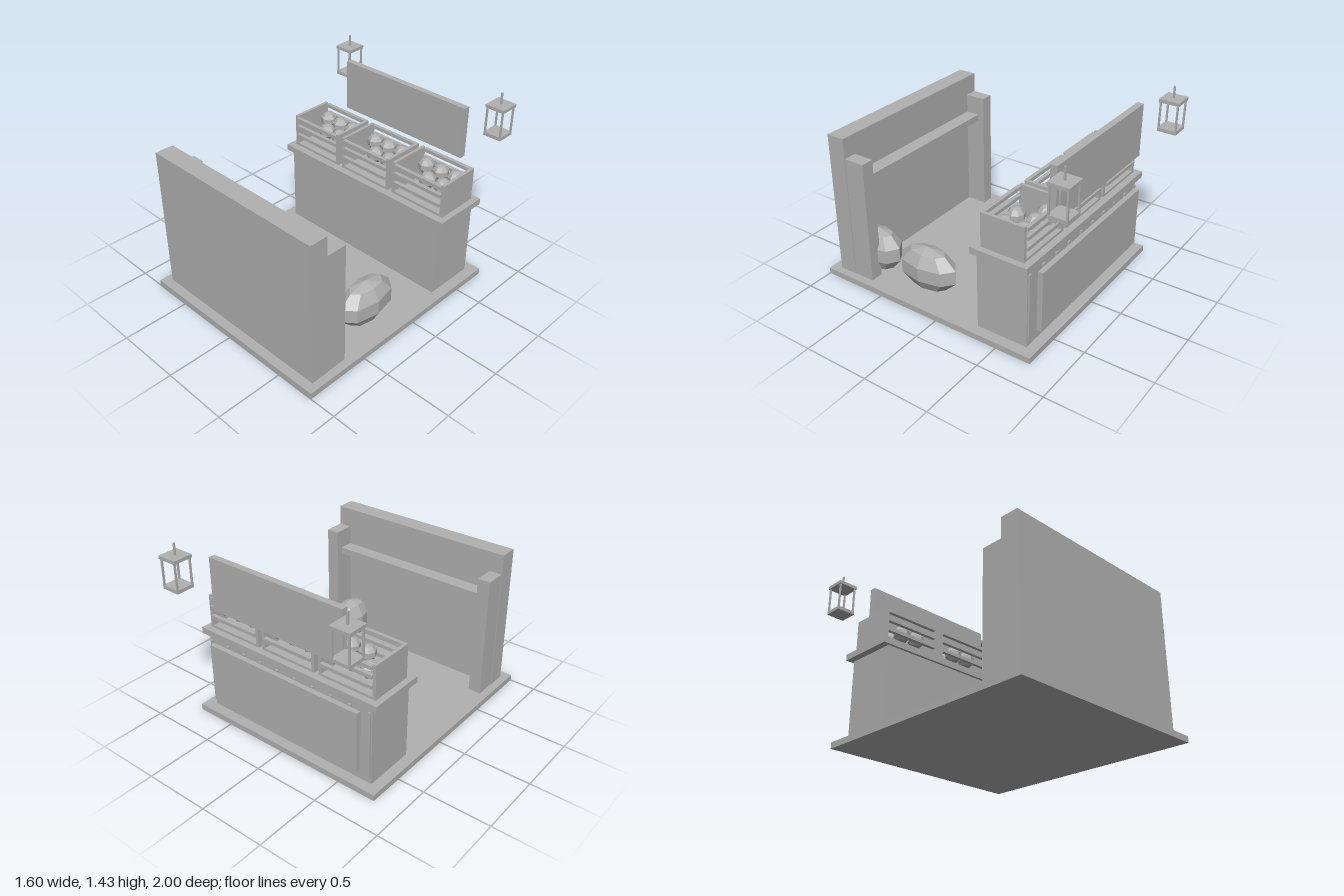
import * as THREE from 'three';

const grey = new THREE.MeshStandardMaterial({ color: 0xb0b0b0, flatShading: true });
grey.name = 'plain grey';

// Box given by its min and max on each axis
function box(parent, name, x0, x1, y0, y1, z0, z1) {
  const mesh = new THREE.Mesh(new THREE.BoxGeometry(x1 - x0, y1 - y0, z1 - z0), grey);
  mesh.position.set((x0 + x1) / 2, (y0 + y1) / 2, (z0 + z1) / 2);
  mesh.name = name;
  parent.add(mesh);
  return mesh;
}

// Faceted ball, stretched on each axis
function ball(parent, name, x, y, z, rx, ry, rz) {
  const mesh = new THREE.Mesh(new THREE.SphereGeometry(1, 8, 5), grey);
  mesh.scale.set(rx, ry, rz);
  mesh.position.set(x, y, z);
  mesh.name = name;
  parent.add(mesh);
}

function group(parent, name, x = 0, y = 0, z = 0) {
  const g = new THREE.Group();
  g.name = name;
  g.position.set(x, y, z);
  parent.add(g);
  return g;
}

// Open crate: solid ends, three slats front and back, five fruits
function addCrate(parent, x) {
  const crate = group(parent, 'crate', x, 0.69, -0.503);
  box(crate, 'crateFloor', -0.21, 0.21, 0, 0.02, -0.165, 0.165);
  for (const s of [-1, 1]) {
    const end = box(crate, 'crateEnd', -0.012, 0.012, 0, 0.255, -0.165, 0.165);
    end.position.x = s * 0.218;
    for (const y of [0.08, 0.155, 0.22]) {
      const slat = box(crate, 'crateSlat', -0.206, 0.206, y, y + 0.026, -0.014, 0.014);
      slat.position.z = s * 0.164;
    }
  }
  for (const [fx, fz] of [[-0.13, -0.095], [0, -0.095], [0.13, -0.095], [0, 0.05], [0.13, 0.05]]) {
    ball(crate, 'fruit', fx, 0.16, fz, 0.063, 0.063, 0.063);
  }
}

// Hanging lantern with four thin corner rods
function addLantern(parent, x) {
  const lantern = group(parent, 'lantern', x, 0, -0.925);
  box(lantern, 'lanternBase', -0.07, 0.07, 1.107, 1.132, -0.07, 0.07);
  box(lantern, 'lanternRoof', -0.075, 0.075, 1.322, 1.346, -0.075, 0.075);
  box(lantern, 'lanternHanger', -0.006, 0.006, 1.346, 1.432, -0.006, 0.006);
  for (const sx of [-1, 1]) for (const sz of [-1, 1]) {
    const rod = box(lantern, 'lanternRod', -0.006, 0.006, 1.132, 1.322, -0.006, 0.006);
    rod.position.x = sx * 0.063;
    rod.position.z = sz * 0.063;
  }
}

export function createModel() {
  const model = new THREE.Group();
  model.name = 'marketStall';

  box(model, 'floor', -0.8, 0.8, 0, 0.046, -0.77, 1);

  // Tall wall with two posts and a shelf between them
  box(model, 'wall', -0.742, 0.742, 0.046, 1.135, 0.79, 0.93);
  box(model, 'rightPost', -0.738, -0.64, 0.046, 0.985, 0.63, 0.79);
  box(model, 'leftPost', 0.64, 0.738, 0.046, 0.985, 0.63, 0.79);
  box(model, 'shelf', -0.64, 0.64, 0.79, 0.84, 0.68, 0.79);

  // Counter with battens and a panel on its outer face
  box(model, 'counterBody', -0.72, 0.72, 0.046, 0.645, -0.692, -0.303);
  box(model, 'counterTop', -0.77, 0.77, 0.645, 0.692, -0.718, -0.282);
  for (let i = 0; i < 10; i++) {
    const x = -0.7 + (i * 1.4) / 9;
    box(model, 'batten', x - 0.011, x + 0.011, 0.09, 0.606, -0.703, -0.692);
  }
  box(model, 'panelRail', -0.6, 0.6, 0.335, 0.358, -0.722, -0.703);
  box(model, 'counterPanel', -0.65, 0.65, 0.155, 0.61, -0.76, -0.722);

  for (const x of [-0.495, 0, 0.495]) addCrate(model, x);

  box(model, 'signBoard', -0.558, 0.558, 0.93, 1.322, -0.78, -0.732);
  for (const x of [-0.715, 0.715]) addLantern(model, x);

  // Large gourds on the floor
  ball(model, 'largeGourd', 0.56, 0.215, 0.243, 0.129, 0.171, 0.255);
  ball(model, 'smallGourd', 0.56, 0.215, 0.7, 0.129, 0.171, 0.2);

  return model;
}
